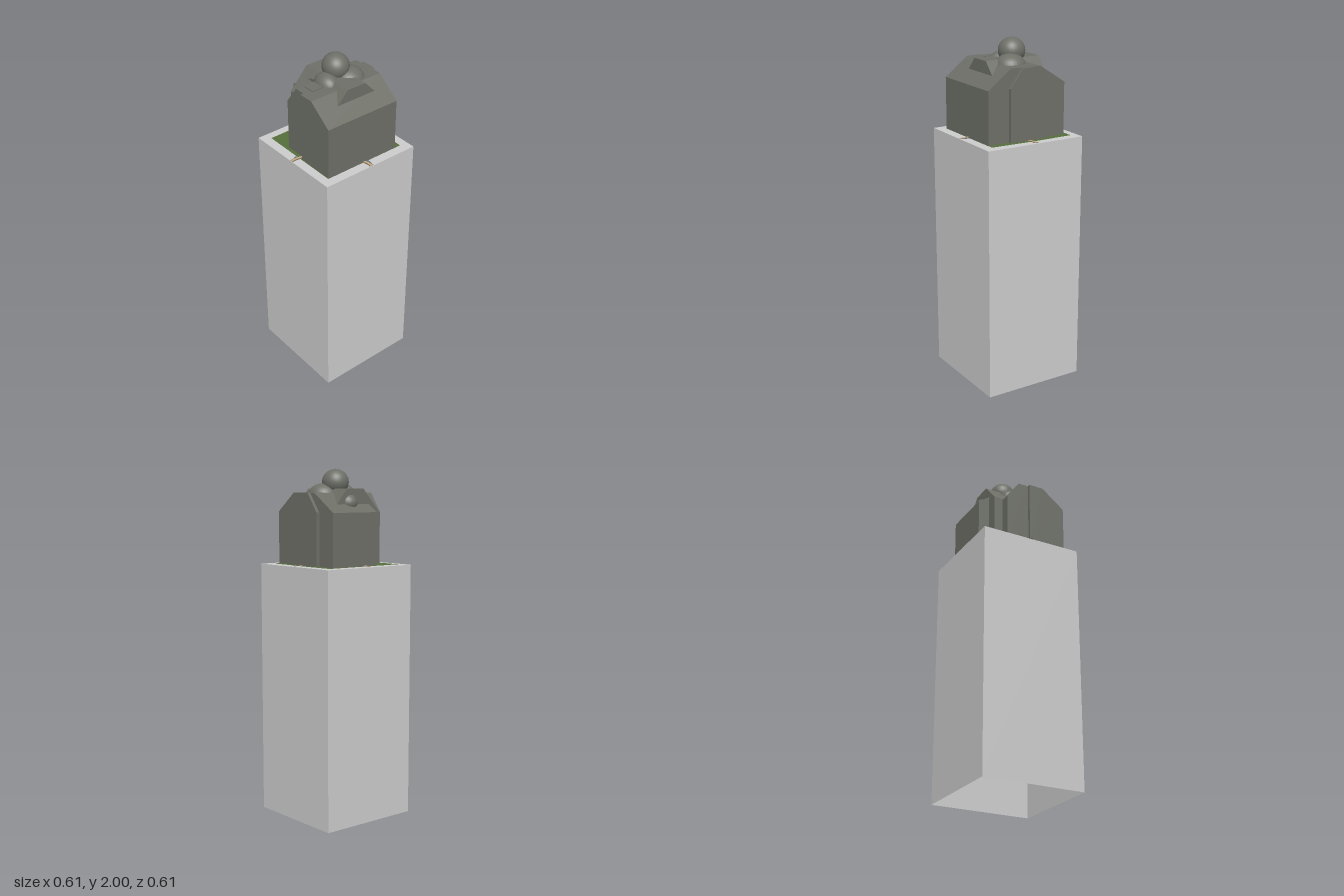
import * as THREE from 'three';

const BASE = 1.46;   // top of the plinth
const EAVE = 1.76;
const ROOF = 1.867;

const mat = (color, extra = {}) => new THREE.MeshStandardMaterial({ color, ...extra });

export function createModel() {
  const root = new THREE.Group();
  const stone = mat(0x6d6f67, { flatShading: true });
  const smoothStone = mat(0x6d6f67);
  const grey = mat(0xcccccc, { side: THREE.DoubleSide });

  const add = (name, geometry, material, x = 0, y = 0, z = 0) => {
    const mesh = new THREE.Mesh(geometry, material);
    mesh.name = name;
    mesh.position.set(x, y, z);
    root.add(mesh);
    return mesh;
  };
  const shapeOf = (pts) => new THREE.Shape(pts.map(([a, b]) => new THREE.Vector2(a, b)));
  const extrude = (pts, depth) =>
    new THREE.ExtrudeGeometry(shapeOf(pts), { depth, bevelEnabled: false });

  // Profile in x,y drawn out from z0 to z1
  const alongZ = (name, pts, z0, z1) => add(name, extrude(pts, z1 - z0), stone, 0, 0, z0);
  // Profile in z,y drawn out from x0 to x1
  const alongX = (name, pts, x0, x1) =>
    add(name, extrude(pts.map(([z, y]) => [-z, y]), x1 - x0).rotateY(Math.PI / 2), stone, x0);

  // Hollow plinth: four walls and a lid, open underneath
  const half = 0.305;
  const plinth = new THREE.BoxGeometry(2 * half, BASE, 2 * half);
  const index = Array.from(plinth.index.array);
  index.splice(18, 6); // removes the bottom face
  plinth.setIndex(index);
  add('plinth', plinth, grey, 0, BASE / 2);

  // Lawn
  const flat = (pts) => new THREE.ShapeGeometry(shapeOf(pts.map(([x, z]) => [x, -z]))).rotateX(-Math.PI / 2);
  add('lawn', flat([[-0.255, 0.253], [0.25, 0.255], [0.252, -0.253], [-0.02, -0.262], [-0.26, -0.257]]),
    mat(0x556f3b, { side: THREE.DoubleSide }), 0, BASE + 0.002);

  // Winding paths with dark borders and small puddles beside them
  const ribbon = (line, width) => {
    const curve = new THREE.CatmullRomCurve3(line.map(([x, z]) => new THREE.Vector3(x, 0, z)));
    const left = [], right = [];
    for (let i = 0; i <= 12; i++) {
      const p = curve.getPoint(i / 12), t = curve.getTangent(i / 12);
      left.push([p.x - t.z * width / 2, p.z + t.x * width / 2]);
      right.unshift([p.x + t.z * width / 2, p.z - t.x * width / 2]);
    }
    return flat([...left, ...right]);
  };
  const pathMat = mat(0xc2ab88, { side: THREE.DoubleSide });
  const borderMat = mat(0x75644a, { side: THREE.DoubleSide });
  const waterMat = mat(0x5f7a90, { side: THREE.DoubleSide });
  const paths = {
    front: [[0.004, 0.2], [0.003, 0.24], [-0.002, 0.27], [-0.001, 0.305]],
    back: [[0.008, -0.2], [0.005, -0.235], [-0.002, -0.27], [-0.001, -0.305]],
    left: [[0.22, 0.004], [0.25, 0.003], [0.28, -0.002], [0.305, -0.001]],
    right: [[-0.2, 0.014], [-0.24, 0.012], [-0.275, 0.001], [-0.305, -0.001]],
  };
  for (const [side, line] of Object.entries(paths)) {
    add(side + 'PathBorder', ribbon(line, 0.025), borderMat, 0, BASE + 0.004);
    add(side + 'Path', ribbon(line, 0.014), pathMat, 0, BASE + 0.006);
  }
  for (const [x, z, sx, sz] of [[-0.013, 0.263, 0.01, 0.016], [0.268, -0.013, 0.02, 0.009], [-0.262, -0.007, 0.02, 0.008]]) {
    add('puddle', new THREE.CircleGeometry(1, 14).rotateX(-Math.PI / 2), waterMat, x, BASE + 0.003, z).scale.set(sx, 1, sz);
  }

  // Main hall in two parts, the right-hand front stepping forward a little
  alongZ('mainHall', [[-0.12, BASE], [0.02, BASE], [0.02, ROOF], [-0.042, ROOF], [-0.12, EAVE]], -0.215, 0.232);
  alongZ('sideHall', [[0.02, BASE], [0.25, BASE], [0.25, EAVE], [0.11, ROOF], [0.02, ROOF]], -0.215, 0.251);

  // Lower wing with a roof pitched towards the outside
  alongZ('wing', [[-0.24, BASE], [0, BASE], [0, ROOF - 0.002], [-0.08, ROOF - 0.002], [-0.24, EAVE]], -0.215, 0.1);

  // Shallow bay on the back
  alongZ('backBay', [[-0.12, BASE], [0.12, BASE], [0.12, EAVE], [0.042, ROOF - 0.002], [-0.042, ROOF - 0.002], [-0.12, EAVE]],
    -0.234, -0.16);

  // Cross dormers
  alongX('dormer', [[0.13, 1.815], [0.06, 1.89], [-0.06, 1.89], [-0.13, 1.815]], -0.02, 0.172);
  alongX('tallDormer', [[0.17, BASE], [0.17, 1.77], [0.06, 1.89], [-0.06, 1.89], [-0.135, 1.8], [-0.135, BASE]], -0.172, -0.02);

  // Small hatch on the front roof
  add('roofHatch', new THREE.BoxGeometry(0.068, 0.008, 0.07), stone, 0.006, ROOF, 0.152);

  // Domes and crowning ball
  const domes = [
    ['crownBall', -0.02, 1.926, -0.017, 0.077, 0.074, 0.075],
    ['backDome', 0.022, 1.85, -0.07, 0.089, 0.07, 0.089],
    ['frontDome', 0, 1.85, 0.06, 0.08, 0.065, 0.063],
    ['wingDome', -0.12, 1.81, -0.03, 0.079, 0.06, 0.062],
  ];
  for (const [name, x, y, z, rx, ry, rz] of domes) {
    add(name, new THREE.SphereGeometry(1, 28, 18), smoothStone, x, y, z).scale.set(rx, ry, rz);
  }
  return root;
}
